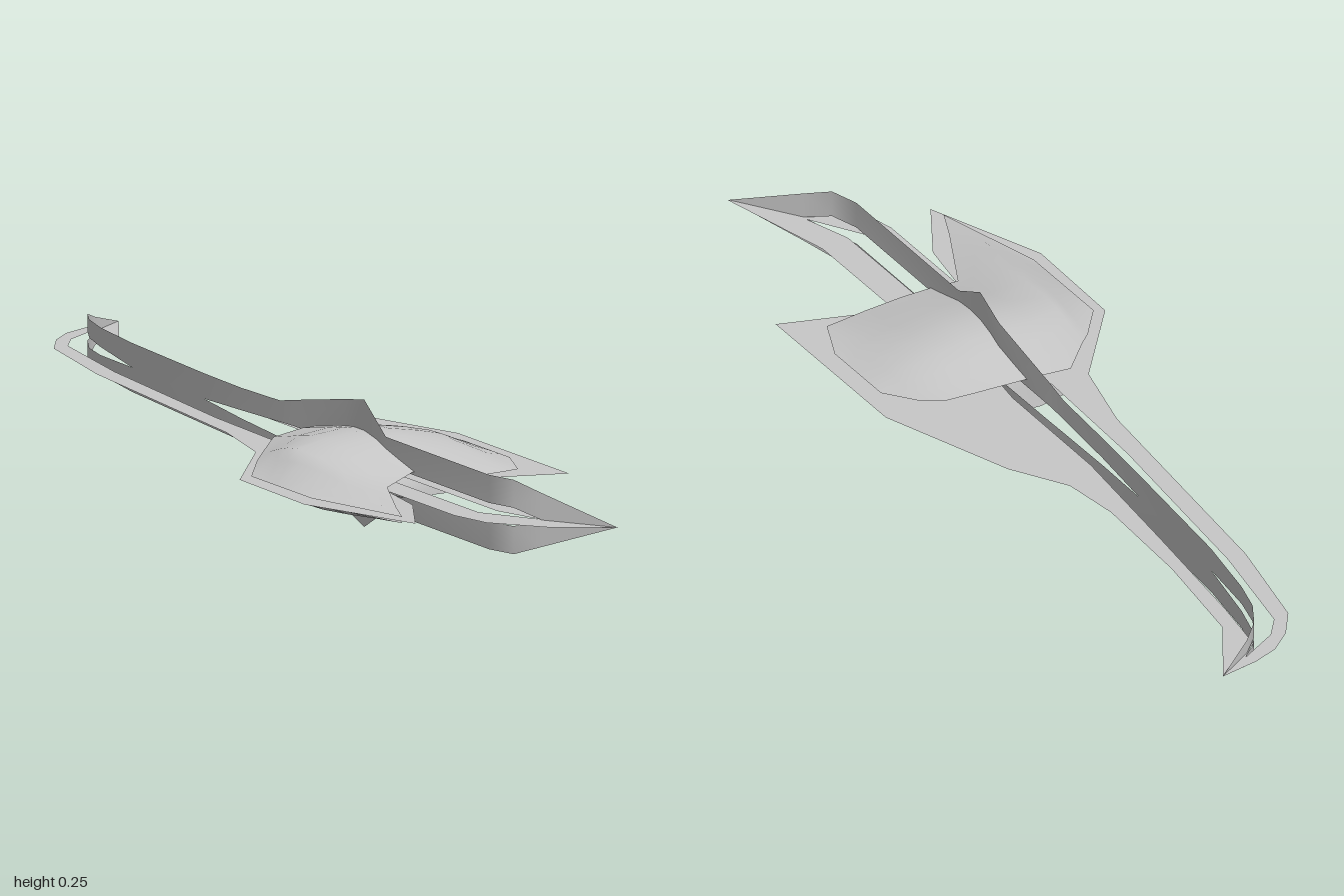
import * as THREE from 'three';

const MID = 0.125; // height of the central plane

const grey = new THREE.MeshStandardMaterial({ color: 0xc8c8c8, side: THREE.DoubleSide });
grey.name = 'light grey';

// Surface through a grid of points, given as rows of equal length
function gridSurface(rows) {
  const n = rows[0].length;
  const index = [];
  for (let i = 0; i < rows.length - 1; i++) {
    for (let j = 0; j < n - 1; j++) {
      const a = i * n + j, b = a + n;
      index.push(a, a + 1, b, b, a + 1, b + 1);
    }
  }
  const geo = new THREE.BufferGeometry();
  geo.setAttribute('position', new THREE.Float32BufferAttribute(rows.flat(2), 3));
  geo.setIndex(index);
  geo.computeVertexNormals();
  return geo;
}

function addMesh(group, geo, name) {
  const mesh = new THREE.Mesh(geo, grey);
  mesh.name = name;
  group.add(mesh);
}

const toVectors = (list) => list.map(([x, z]) => new THREE.Vector2(x, -z));

// Flat blade with swept wings and a long slot, outline as [x, z]
function horizontalBlade() {
  const shape = new THREE.Shape(toVectors([
    [0.124, 1], [0.01, 0.93], [-0.07, 0.835], [-0.09, 0.75], [-0.09, 0.505],
    [-0.11, 0.63], [-0.19, 0.77], [-0.285, 0.52], [-0.28, 0.275], [-0.13, 0.09],
    [-0.09, -0.08], [-0.04, -0.635], [0.005, -0.865], [0.047, -0.925], [0.095, -0.965],
    [0.148, -0.985], [0.234, -1], [0.14, -0.845], [0.11, -0.61], [0.1, -0.37],
    [0.116, -0.245], [0.185, -0.13], [0.285, 0.155], [0.285, 0.56], [0.12, 0.505],
    [0.063, 0.49], [0.063, 0.75],
  ]));
  shape.holes.push(new THREE.Path(toVectors([
    [0.032, 0.86], [-0.036, 0.75], [-0.036, 0.4], [-0.05, 0.09], [-0.04, -0.2],
    [0, -0.635], [0.04, -0.87], [0.075, -0.915], [0.16, -0.962], [0.12, -0.925],
    [0.1, -0.79], [0.07, -0.5], [0.042, -0.2], [0.04, 0.09], [0, 0.4], [0, 0.76],
  ])));
  return new THREE.ShapeGeometry(shape).rotateX(-Math.PI / 2).translate(0, MID, 0);
}

// Upright blade stations: z, x, half height, slot half height
const uprightStations = [
  [1, 0.122, 0, 0], [0.87, 0.032, 0.053, 0], [0.82, 0, 0.073, 0.018],
  [0.76, -0.018, 0.073, 0.018], [0.38, -0.016, 0.073, 0.018], [0.28, -0.003, 0.125, 0.018],
  [0.19, 0.01, 0.107, 0.018], [0, 0.01, 0.068, 0.017], [-0.05, 0.011, 0.057, 0.015],
  [-0.2, 0.016, 0.052, 0.008], [-0.35, 0.025, 0.05, 0], [-0.65, 0.048, 0.048, 0],
  [-0.8, 0.07, 0.046, 0.008], [-0.87, 0.088, 0.046, 0.01], [-0.92, 0.115, 0.044, 0.008],
  [-0.95, 0.15, 0.028, 0], [-1, 0.234, 0, 0],
];

function uprightHalf(side) {
  return gridSurface(uprightStations.map(([z, x, h, s]) => [
    [x, MID + side * s, z], [x, MID + side * h, z],
  ]));
}

// Domed shell ribs: x, then z and height above the plane at front, crest and rear
const shellRibs = [
  [-0.257, 0.5, 0.005, 0.4, 0.005, 0.28, 0.005],
  [-0.195, 0.73, 0.006, 0.36, 0.038, 0.2, 0.012],
  [-0.165, 0.66, 0.007, 0.3, 0.052, 0.17, 0.018],
  [-0.09, 0.505, 0.007, 0.28, 0.059, 0.09, 0.025],
  [-0.02, 0.485, 0.025, 0.28, 0.065, 0.085, 0.034],
  [0.05, 0.485, 0.025, 0.28, 0.063, 0.09, 0.034],
  [0.12, 0.505, 0.006, 0.28, 0.05, 0.105, 0.027],
  [0.17, 0.5, 0.005, 0.28, 0.038, 0.12, 0.02],
  [0.21, 0.495, 0.005, 0.28, 0.021, 0.16, 0.012],
  [0.25, 0.4, 0.005, 0.28, 0.005, 0.23, 0.005],
];

function shell(side) {
  return gridSurface(shellRibs.map(([x, zf, yf, zm, ym, zr, yr]) => {
    const rib = new THREE.CatmullRomCurve3([
      new THREE.Vector3(x, MID + side * yf, zf),
      new THREE.Vector3(x, MID + side * ym, zm),
      new THREE.Vector3(x, MID + side * yr, zr),
    ]);
    const points = rib.getPoints(8).map((p) => p.toArray());
    return side > 0 ? points : points.reverse();
  }));
}

export function createModel() {
  const model = new THREE.Group();
  model.name = 'bladeShip';
  addMesh(model, horizontalBlade(), 'horizontalBlade');
  for (const [side, label] of [[1, 'upper'], [-1, 'lower']]) {
    addMesh(model, uprightHalf(side), label + 'UprightBlade');
    addMesh(model, shell(side), label + 'Shell');
  }
  return model;
}
